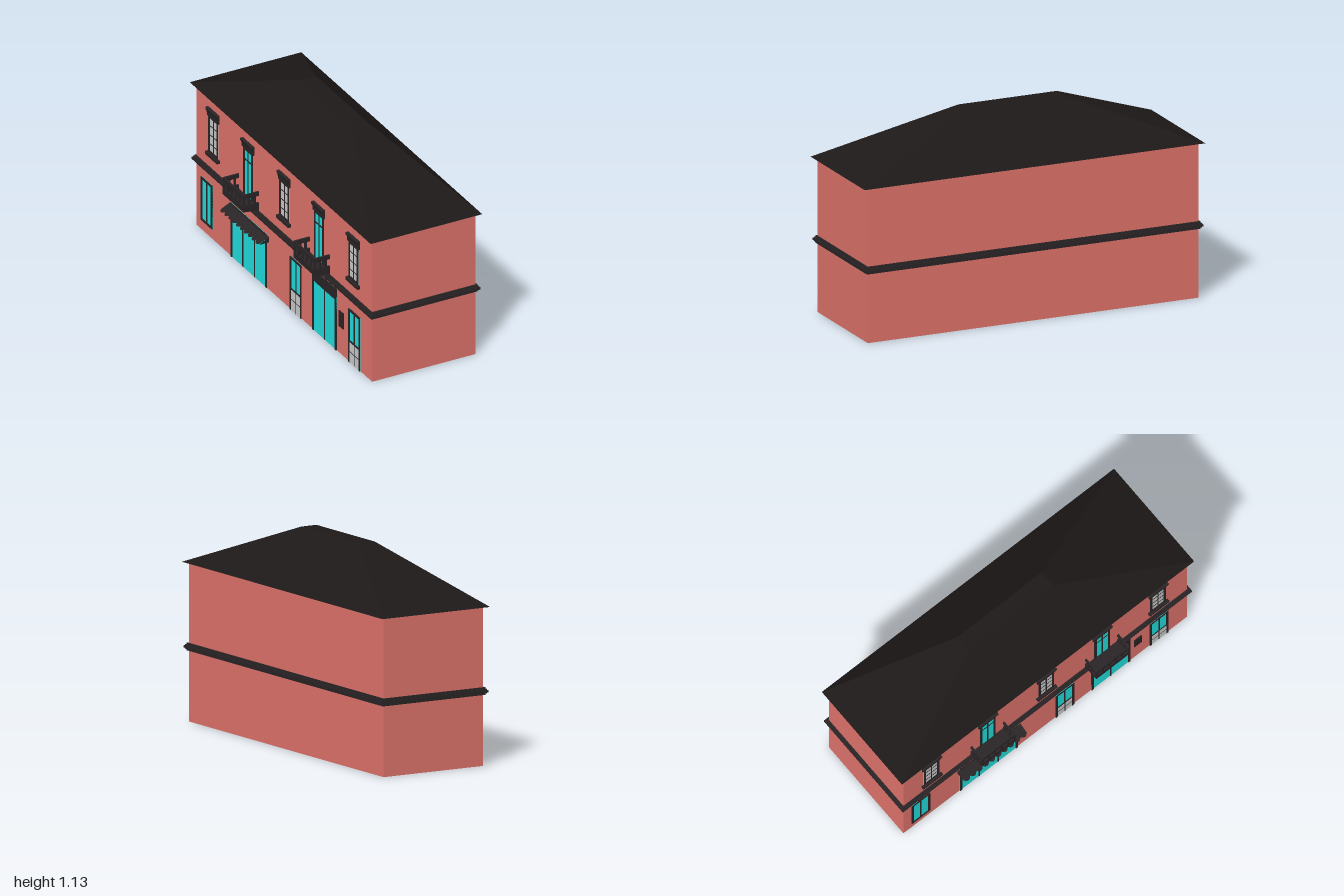
import * as THREE from 'three';

const material = (color, side = THREE.FrontSide) => new THREE.MeshStandardMaterial({ color, side });
const wallMat = material(0xe0736b, THREE.DoubleSide);
const roofMat = material(0x1d1918);
const trimMat = material(0x2a2526);
const awningMat = material(0x2a2526, THREE.DoubleSide);
const glassMat = material(0x20dede);
const greyMat = material(0xcccccc);

// Wall extents; the decorated facade is the x = X0 side
const X0 = -0.28, X1 = 0.345, Z = 0.97, TOP = 0.862;

function add(parent, name, geometry, mat) {
  const mesh = new THREE.Mesh(geometry, mat);
  mesh.name = name;
  parent.add(mesh);
  return mesh;
}

function box(parent, name, mat, x0, x1, y0, y1, z0, z1) {
  const mesh = add(parent, name, new THREE.BoxGeometry(x1 - x0, y1 - y0, z1 - z0), mat);
  mesh.position.set((x0 + x1) / 2, (y0 + y1) / 2, (z0 + z1) / 2);
  return mesh;
}

function group(parent, name) {
  const g = new THREE.Group();
  g.name = name;
  parent.add(g);
  return g;
}

// Box lying on the facade, reaching "out" outside and a little inside
const onWall = (parent, name, mat, out, y0, y1, z0, z1) =>
  box(parent, name, mat, X0 - out, X0 + 0.004, y0, y1, z0, z1);

// Surround, pane and mullions; bars lists mullion positions as fractions
function opening(parent, name, y0, y1, z0, z1, { pane = glassMat, t = 0.013, bars = [0.5], sill = false } = {}) {
  const g = group(parent, name);
  onWall(g, 'pane', pane, 0.002, y0, y1, z0, z1);
  onWall(g, 'jamb', trimMat, 0.006, y0, y1, z0, z0 + t);
  onWall(g, 'jamb', trimMat, 0.006, y0, y1, z1 - t, z1);
  onWall(g, 'lintel', trimMat, 0.006, y1 - t, y1, z0, z1);
  if (sill) onWall(g, 'bottomRail', trimMat, 0.006, y0, y0 + t, z0, z1);
  for (const f of bars) {
    const z = z0 + (z1 - z0) * f;
    onWall(g, 'mullion', trimMat, 0.004, y0, y1, z - 0.004, z + 0.004);
  }
  return g;
}

// Moulded cap that flares outwards towards its top
function header(parent, z) {
  const s = new THREE.Shape([[0.004, 0.735], [-0.007, 0.735], [-0.009, 0.76], [-0.017, 0.775], [-0.017, 0.787], [0.004, 0.787]]
    .map(([x, y]) => new THREE.Vector2(X0 + x, y)));
  const geo = new THREE.ExtrudeGeometry(s, { depth: 0.126, bevelEnabled: false });
  add(parent, 'headerMoulding', geo, trimMat).position.z = z - 0.063;
}

function upperWindow(parent, z) {
  const g = opening(parent, 'upperWindow', 0.515, 0.74, z - 0.052, z + 0.052, { pane: greyMat, sill: true });
  for (const y of [0.57, 0.625, 0.68]) onWall(g, 'glazingBar', trimMat, 0.004, y - 0.002, y + 0.002, z - 0.045, z + 0.045);
  onWall(g, 'sill', trimMat, 0.017, 0.497, 0.516, z - 0.066, z + 0.066);
  header(g, z);
}

function door(parent, z0, z1) {
  const g = opening(parent, 'door', 0, 0.325, z0, z1);
  onWall(g, 'lowerDoor', greyMat, 0.004, 0, 0.125, z0 + 0.013, z1 - 0.013);
  onWall(g, 'lockRail', trimMat, 0.005, 0.125, 0.135, z0 + 0.013, z1 - 0.013);
  onWall(g, 'panelRail', trimMat, 0.005, 0.064, 0.068, z0 + 0.013, z1 - 0.013);
  onWall(g, 'doorSeam', trimMat, 0.005, 0, 0.125, (z0 + z1) / 2 - 0.002, (z0 + z1) / 2 + 0.002);
}

function balcony(parent, z) {
  const g = group(parent, 'balcony');
  const xo = -0.375, z0 = z - 0.115, z1 = z + 0.115, t = 0.01;
  // Slab with a sloping underside
  const s = new THREE.Shape([[X0 + 0.004, 0.427], [xo, 0.44], [xo, 0.452], [X0 + 0.004, 0.452]]
    .map(([x, y]) => new THREE.Vector2(x, y)));
  add(g, 'balconySlab', new THREE.ExtrudeGeometry(s, { depth: z1 - z0, bevelEnabled: false }), trimMat).position.z = z0;
  // Kerb and handrail on three sides
  for (const [y0, y1, name] of [[0.452, 0.475, 'kerb'], [0.517, 0.542, 'handrail']]) {
    box(g, name, trimMat, xo, xo + t, y0, y1, z0, z1);
    box(g, name, trimMat, xo + t, X0, y0, y1, z0, z0 + t);
    box(g, name, trimMat, xo + t, X0, y0, y1, z1 - t, z1);
  }
  for (const x of [xo, xo + 0.033, xo + 0.065]) {
    for (const zz of [z0, z1 - t]) box(g, 'baluster', trimMat, x, x + 0.011, 0.475, 0.517, zz, zz + t);
  }
  for (let i = 1; i < 5; i++) {
    const zz = z0 + (z1 - z0 - t) * i / 5;
    box(g, 'baluster', trimMat, xo, xo + t, 0.475, 0.517, zz, zz + t);
  }
  // Tall glazed door behind it
  const d = opening(g, 'balconyDoor', 0.43, 0.74, z - 0.052, z + 0.052);
  onWall(d, 'transom', trimMat, 0.004, 0.665, 0.673, z - 0.052, z + 0.052);
  header(d, z);
}

function awning(parent, z0, z1) {
  const g = group(parent, 'awning');
  const yTop = 0.32, yLip = 0.287, reach = 0.067, n = 10, w = (z1 - z0) / n;
  // Sheet drawn flat with a scalloped lip, then sloped down from the wall
  const s = new THREE.Shape();
  s.moveTo(z0, 0);
  s.lineTo(z0, 0.8);
  for (let i = 0; i < n; i++) s.quadraticCurveTo(z0 + (i + 0.5) * w, 1.2, z0 + (i + 1) * w, 0.8);
  s.lineTo(z1, 0);
  const geo = new THREE.ShapeGeometry(s, 6), p = geo.attributes.position;
  for (let i = 0; i < p.count; i++) {
    const f = p.getY(i);
    p.setXYZ(i, X0 - reach * f, yTop + (yLip - yTop) * f, p.getX(i));
  }
  geo.computeVertexNormals();
  add(g, 'awningSheet', geo, awningMat);
  // Triangular cheeks closing the ends
  const cheek = new THREE.ShapeGeometry(new THREE.Shape([[X0, yTop], [X0, yLip], [X0 - reach * 0.9, yLip]]
    .map(([x, y]) => new THREE.Vector2(x, y))));
  for (const z of [z0, z1]) add(g, 'awningCheek', cheek, awningMat).position.z = z;
}

// Rectangular ring around the walls
function bandRing(parent, out, y0, y1) {
  const rect = (S, o) => new S([[X0 - o, -Z - o], [X1 + o, -Z - o], [X1 + o, Z + o], [X0 - o, Z + o]]
    .map(([x, z]) => new THREE.Vector2(x, z)));
  const s = rect(THREE.Shape, out);
  s.holes.push(rect(THREE.Path, -0.006));
  const geo = new THREE.ExtrudeGeometry(s, { depth: y1 - y0, bevelEnabled: false });
  geo.rotateX(-Math.PI / 2);
  add(parent, 'stringCourse', geo, trimMat).position.y = y0;
}

export function createModel() {
  const model = new THREE.Group();
  model.name = 'house';

  // Open shell of four walls
  const outline = [[X0, -Z], [X1, -Z], [X1, Z], [X0, Z]];
  const walls = group(model, 'walls');
  outline.forEach(([xa, za], i) => {
    const [xb, zb] = outline[(i + 1) % 4];
    const wall = add(walls, 'wall', new THREE.PlaneGeometry(Math.hypot(xb - xa, zb - za), TOP), wallMat);
    wall.position.set((xa + xb) / 2, TOP / 2, (za + zb) / 2);
    wall.rotation.y = Math.PI - i * Math.PI / 2;
  });

  // Hipped roof with a small flat top
  let roof = new THREE.BoxGeometry(1, 1, 1);
  const p = roof.attributes.position;
  for (let i = 0; i < p.count; i++) {
    const up = p.getY(i) > 0, right = p.getX(i) > 0, front = p.getZ(i) > 0;
    if (up) p.setXYZ(i, right ? 0.08 : -0.015, 1.135, front ? 0.27 : -0.31);
    else p.setXYZ(i, right ? 0.37 : -0.305, 0.86, front ? 1 : -1);
  }
  roof = roof.toNonIndexed();
  roof.computeVertexNormals();
  add(model, 'roof', roof, roofMat);

  // Stepped string course between the floors
  const band = group(model, 'stringCourseBand');
  bandRing(band, 0.009, 0.384, 0.392);
  bandRing(band, 0.014, 0.392, 0.398);
  bandRing(band, 0.02, 0.398, 0.41);
  bandRing(band, 0.014, 0.41, 0.417);
  bandRing(band, 0.009, 0.417, 0.425);

  // Upper floor
  const facade = group(model, 'facade');
  for (const z of [-0.78, 0.005, 0.77]) upperWindow(facade, z);
  for (const z of [-0.395, 0.388]) balcony(facade, z);

  // Ground floor
  opening(facade, 'groundWindow', 0.06, 0.325, -0.915, -0.79, { sill: true });
  opening(facade, 'wideShopFront', 0, 0.325, -0.585, -0.19, { bars: [0.33, 0.66] });
  awning(facade, -0.6, -0.17);
  door(facade, 0.07, 0.195);
  opening(facade, 'narrowShopFront', 0, 0.325, 0.315, 0.58);
  onWall(facade, 'signBoard', trimMat, 0.007, 0.305, 0.372, 0.315, 0.58);
  onWall(facade, 'noticeBoard', trimMat, 0.006, 0.165, 0.26, 0.608, 0.657);
  door(facade, 0.715, 0.84);

  return model;
}
